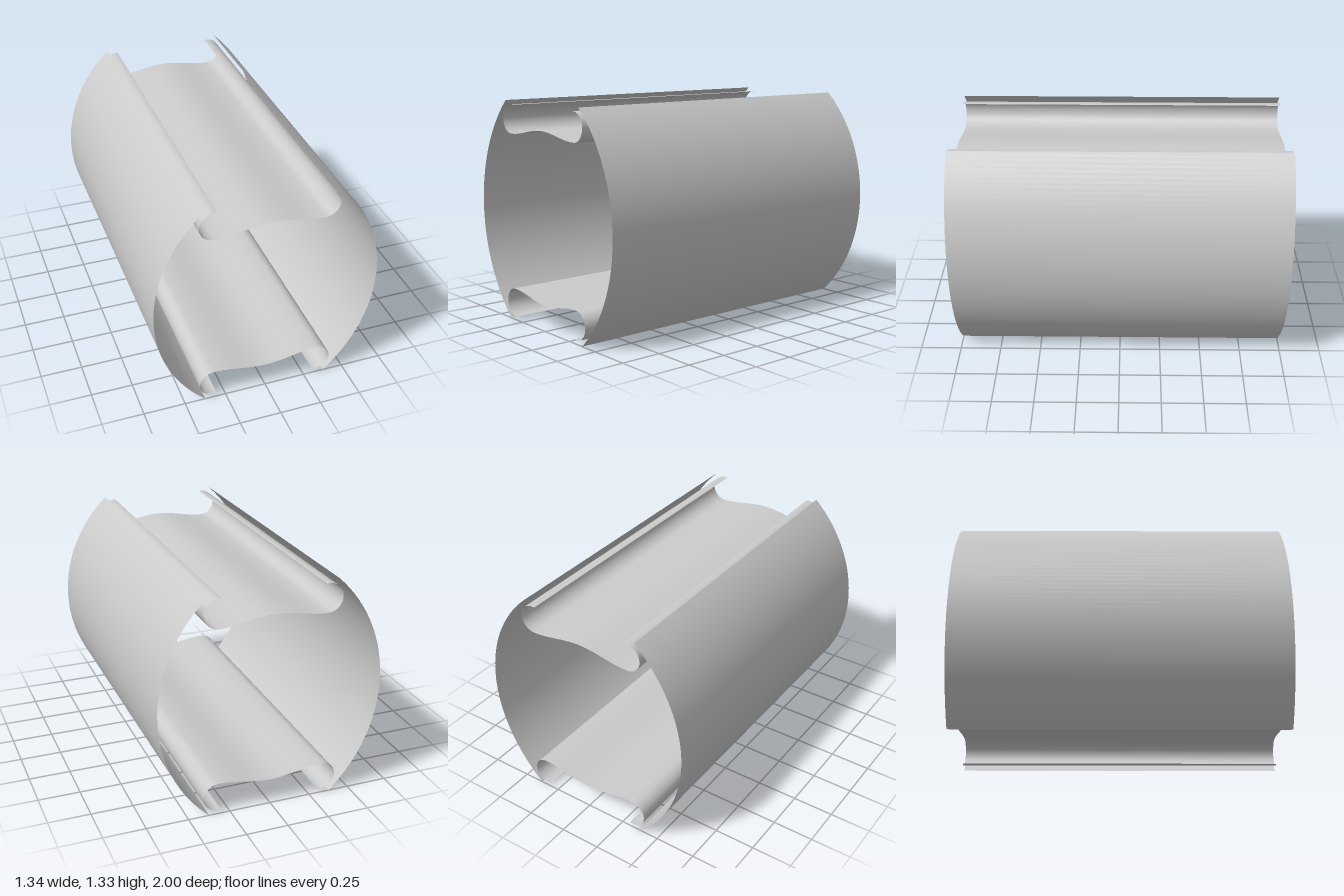
import * as THREE from 'three';

const HALF_LENGTH = 1;
const MID_Y = 0.667;

// Points along a circular arc, angles in degrees
function arc(cx, cy, r, from, to, steps) {
  return Array.from({ length: steps + 1 }, (_, i) => {
    const a = THREE.MathUtils.degToRad(from + ((to - from) * i) / steps);
    return new THREE.Vector2(cx + r * Math.cos(a), cy + r * Math.sin(a));
  });
}

// Thin open sheet: a profile in x/y swept straight along z
function sheet(name, profile, material) {
  const geo = new THREE.PlaneGeometry(1, 1, profile.length - 1, 1);
  const pos = geo.attributes.position;
  profile.forEach((p, i) => {
    pos.setXYZ(i, p.x, p.y, -HALF_LENGTH);
    pos.setXYZ(i + profile.length, p.x, p.y, HALF_LENGTH);
  });
  geo.computeVertexNormals();
  const mesh = new THREE.Mesh(geo, material);
  mesh.name = name;
  return mesh;
}

export function createModel() {
  const group = new THREE.Group();
  group.name = 'channelledShell';
  const material = new THREE.MeshStandardMaterial({ color: 0xcccccc, side: THREE.DoubleSide });

  // Bowed side walls, ending at the top and bottom edges
  const wallRadius = 0.9;
  const wallOffset = 0.228;
  const sweep = THREE.MathUtils.radToDeg(Math.asin(MID_Y / wallRadius));
  const leftWall = arc(-wallOffset, MID_Y, wallRadius, sweep, -sweep, 48);
  const rightWall = leftWall.map((p) => new THREE.Vector2(-p.x, p.y)).reverse();
  group.add(sheet('leftWall', leftWall, material), sheet('rightWall', rightWall, material));

  // Channel profile: rolled lip, gently humped floor, mirrored rolled lip
  const lipX = 0.322, lipY = 1.225, lipR = 0.086;
  const rightLip = arc(lipX, lipY, lipR, 101, -90, 28);
  const leftLip = rightLip.map((p) => new THREE.Vector2(-p.x, p.y)).reverse();
  const floor = [];
  for (let i = 1; i < 32; i++) {
    const x = -lipX + (2 * lipX * i) / 32;
    floor.push(new THREE.Vector2(x, lipY - lipR + 0.0195 * (1 + Math.cos((Math.PI * x) / lipX))));
  }
  const topChannel = [...leftLip, ...floor, ...rightLip.slice().reverse()];
  // The left lip runs from its free edge down to the floor
  leftLip.reverse().forEach((p, i) => { topChannel[i] = p; });
  const bottomChannel = topChannel.map((p) => new THREE.Vector2(p.x, 2 * MID_Y - p.y)).reverse();
  group.add(sheet('topChannel', topChannel, material), sheet('bottomChannel', bottomChannel, material));

  return group;
}
